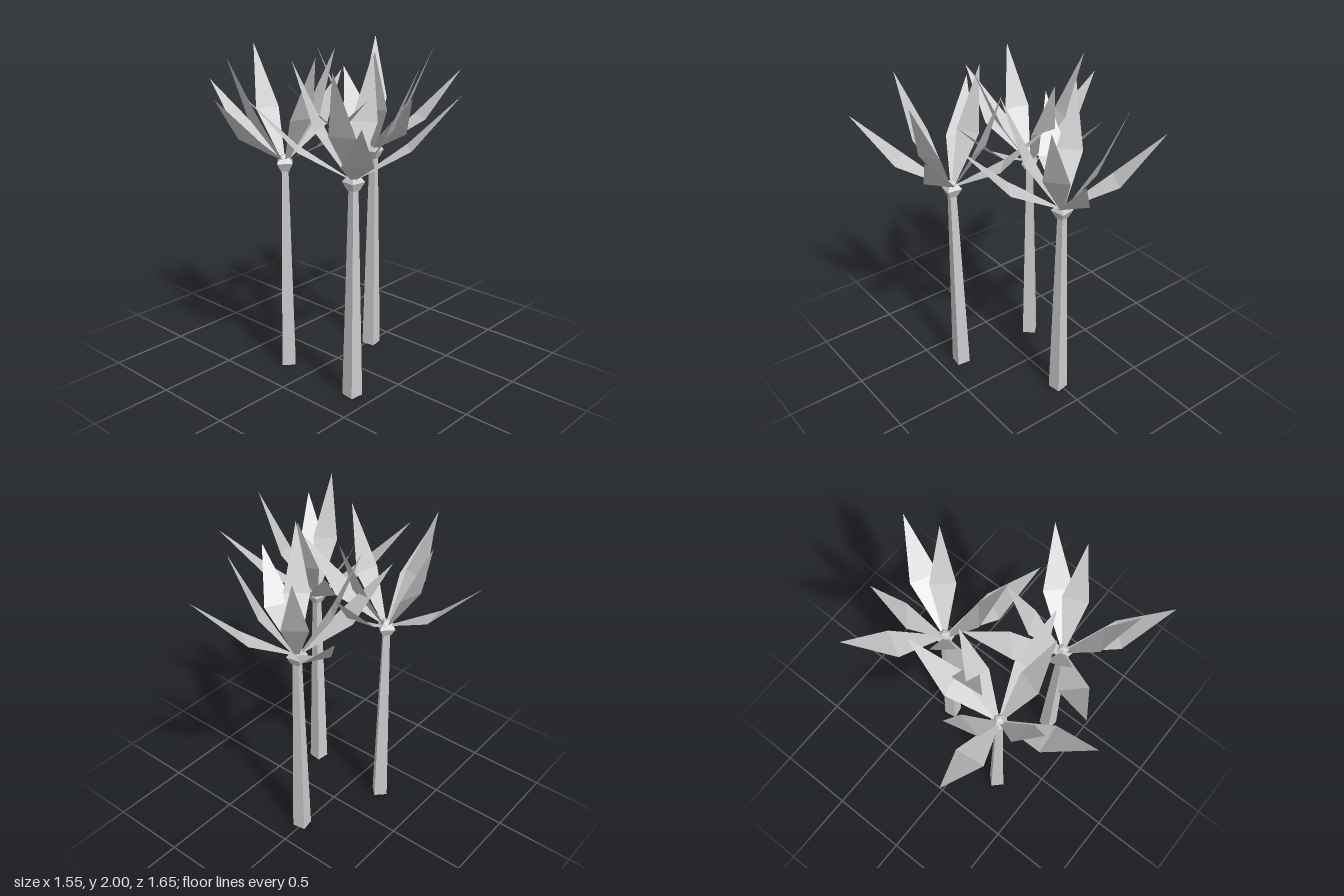
import * as THREE from 'three';

const material = new THREE.MeshStandardMaterial({ color: 0xcccccc, flatShading: true, side: THREE.DoubleSide });
const rad = THREE.MathUtils.degToRad;

function addPart(parent, name, geometry) {
  const mesh = new THREE.Mesh(geometry, material);
  mesh.name = name;
  parent.add(mesh);
  return mesh;
}

// Kite-shaped frond growing along +x, creased across its widest point.
function frondGeometry(midOut, midY, halfWidth, tipOut, tipY) {
  const g = new THREE.BufferGeometry();
  g.setAttribute('position', new THREE.Float32BufferAttribute([
    0.02, 1.35, 0.012,
    0.02, 1.35, -0.012,
    midOut, midY, halfWidth,
    midOut, midY, -halfWidth,
    tipOut, tipY, 0,
  ], 3));
  g.setIndex([0, 2, 1, 1, 2, 3, 2, 4, 3]);
  g.computeVertexNormals();
  return g;
}

// One palm; angle turns from +x toward +z.
function createPalm(x, z, angle) {
  const palm = new THREE.Group();
  palm.name = 'palm';
  const twist = -rad(6.7);

  // Tapered four-sided trunk
  const trunk = addPart(palm, 'trunk', new THREE.CylinderGeometry(0.027, 0.06, 1.33, 4));
  trunk.position.y = 0.665;
  trunk.rotation.y = twist;

  // Faceted crown bulb that holds the fronds
  const profile = [[0, 1.285], [0.035, 1.285], [0.065, 1.335], [0.025, 1.38], [0, 1.385]]
    .map(([r, y]) => new THREE.Vector2(r, y));
  addPart(palm, 'crownBulb', new THREE.LatheGeometry(profile, 4)).rotation.y = twist;

  // Four long spreading fronds alternate with four short upright ones
  for (let k = 0; k < 4; k++) {
    const odd = k % 2;
    const long = addPart(palm, 'longFrond', frondGeometry(0.305, odd ? 1.525 : 1.5, 0.088, 0.58, odd ? 1.81 : 1.77));
    long.rotation.y = -rad(90 * k);
    const short = addPart(palm, 'shortFrond', frondGeometry(0.2, odd ? 1.62 : 1.63, 0.077, 0.355, odd ? 1.985 : 2));
    short.rotation.y = -rad(90 * k + 21.3);
  }

  palm.position.set(x, 0, z);
  palm.rotation.y = -rad(angle);
  return palm;
}

export function createModel() {
  const model = new THREE.Group();
  model.name = 'palmCluster';
  model.add(
    createPalm(0.01, -0.32, 29),
    createPalm(0.365, 0.275, 45),
    createPalm(-0.2, 0.25, -6.7),
  );
  return model;
}
